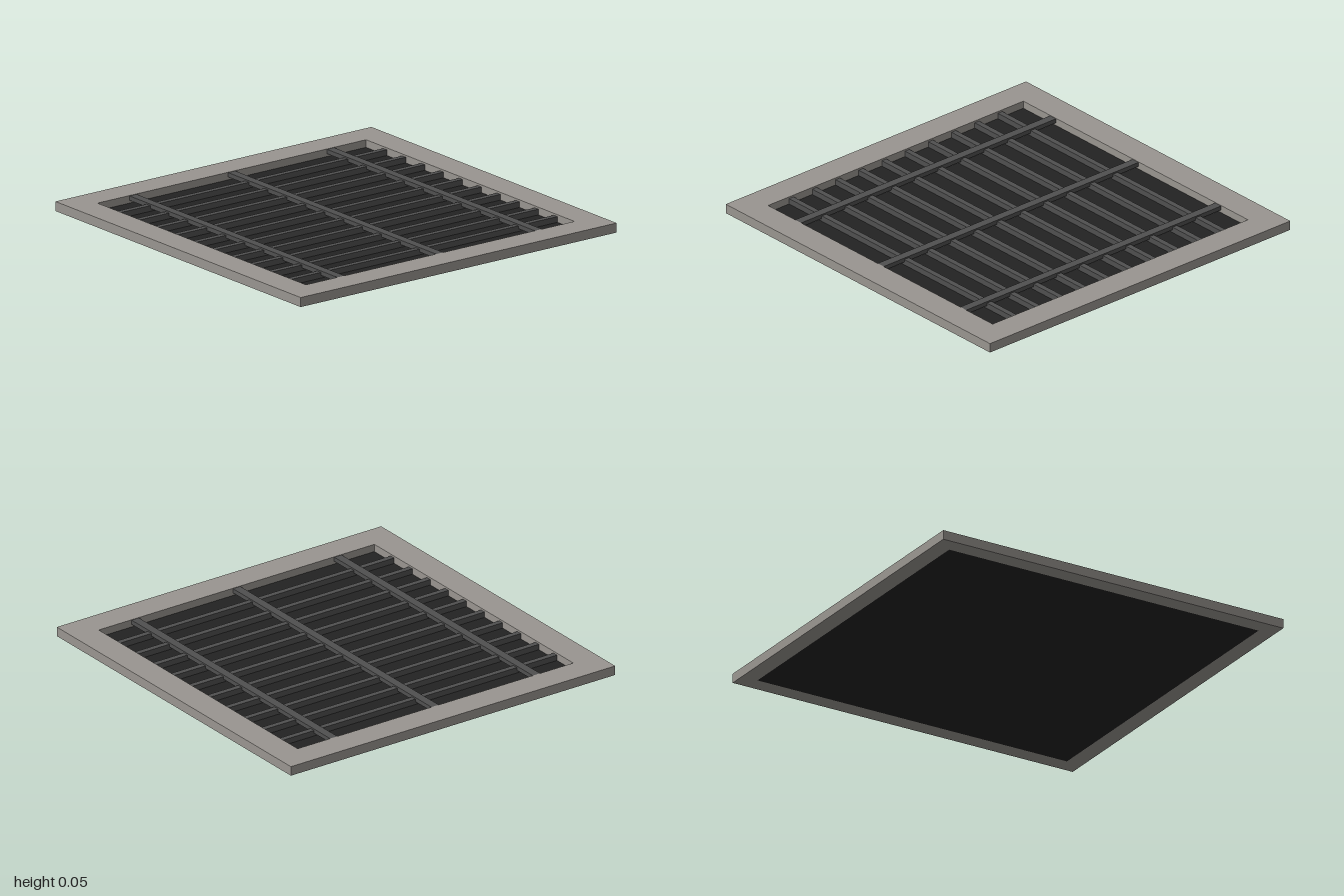
import * as THREE from 'three';

const frameStone = new THREE.MeshStandardMaterial({ color: 0x999590 });
const barIron = new THREE.MeshStandardMaterial({ color: 0x505050 });
const pitDark = new THREE.MeshStandardMaterial({ color: 0x222222 });

const OUTER = 1, OPENING = 0.85, PLATE = 0.91;
const PLATE_TOP = 0.01, FRAME_TOP = 0.05;

export function createModel() {
  const group = new THREE.Group();
  group.name = 'floorGrate';

  const box = (name, material, w, d, y0, y1, x = 0, z = 0) => {
    const mesh = new THREE.Mesh(new THREE.BoxGeometry(w, y1 - y0, d), material);
    mesh.name = name;
    mesh.position.set(x, (y0 + y1) / 2, z);
    group.add(mesh);
  };

  const square = (path, h) =>
    path.moveTo(-h, -h).lineTo(h, -h).lineTo(h, h).lineTo(-h, h).closePath();

  // Square ring lying flat between two heights
  const ring = (name, hole, y0, y1) => {
    const shape = square(new THREE.Shape(), OUTER);
    shape.holes.push(square(new THREE.Path(), hole));
    const geometry = new THREE.ExtrudeGeometry(shape, { depth: y1 - y0, bevelEnabled: false });
    geometry.rotateX(-Math.PI / 2);
    const mesh = new THREE.Mesh(geometry, frameStone);
    mesh.name = name;
    mesh.position.y = y0;
    group.add(mesh);
  };

  // Frame, rebated underneath to hold the bottom plate
  ring('frameBase', PLATE, 0, PLATE_TOP);
  ring('frame', OPENING, PLATE_TOP, FRAME_TOP);
  box('bottomPlate', pitDark, PLATE * 2, PLATE * 2, 0, PLATE_TOP);

  // Ten long bars dividing the opening evenly
  const bars = 10;
  for (let i = 1; i <= bars; i++) {
    const x = -OPENING + (i * OPENING * 2) / (bars + 1);
    box(`gratingBar${i}`, barIron, 0.03, OPENING * 2, PLATE_TOP, 0.04, x);
  }

  // Three cross bars over them
  [-0.625, 0, 0.625].forEach((z, i) =>
    box(`crossBar${i + 1}`, barIron, OPENING * 2, 0.045, 0.025, 0.048, 0, z));

  return group;
}
